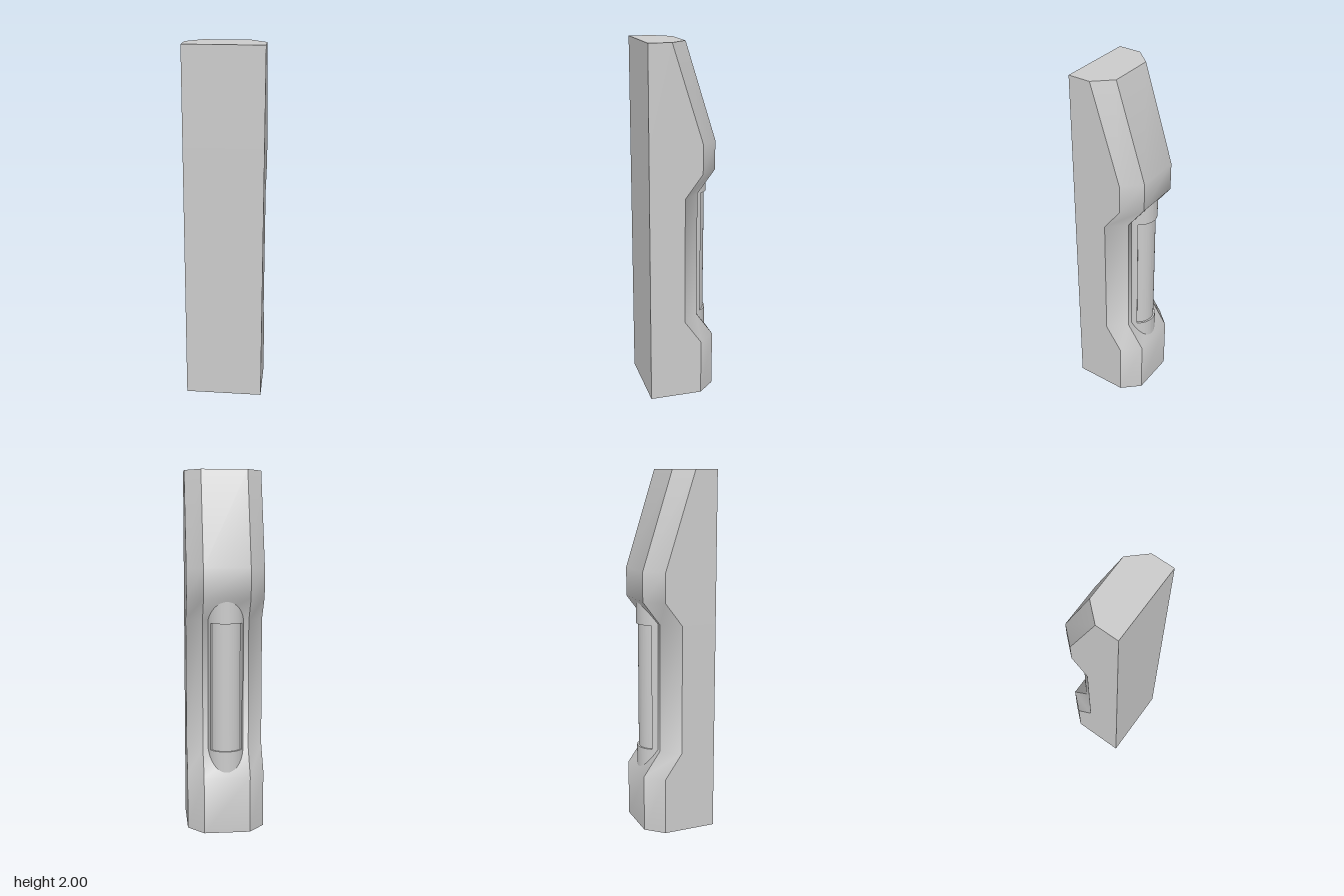
import * as THREE from 'three';
import { toCreasedNormals } from 'three/addons/utils/BufferGeometryUtils.js';

const material = new THREE.MeshStandardMaterial({ color: 0xcccccc });
const HALF = 0.215, FLAT = 0.128, FRONT = 0.195, CHAMFER = 0.095;
const BAR_R = 0.1, BAR_V = 0.08; // bar radius, and its axis distance behind z = 0

// Chamfered body: one six-sided cross-section per [height, depth of the back face]
function bodyGeometry() {
  const profile = [[0, -0.195], [0.32, -0.195], [0.46, -0.097], [1.18, -0.097],
    [1.31, -0.195], [1.47, -0.195], [2, -0.025]];
  const pos = [], index = [], n = 6;
  for (const [y, zb] of profile) {
    const zc = zb + CHAMFER;
    pos.push(-HALF, y, FRONT, HALF, y, FRONT, HALF, y, zc,
      FLAT, y, zb, -FLAT, y, zb, -HALF, y, zc);
  }
  const last = (profile.length - 1) * n;
  for (let r = 0; r < last; r += n) {
    for (let i = 0; i < n; i++) {
      const a = r + i, b = r + (i + 1) % n;
      index.push(a, b, b + n, a, b + n, a + n);
    }
  }
  for (let i = 1; i < n - 1; i++) {
    index.push(0, i + 1, i, last, last + i, last + i + 1);
  }
  const g = new THREE.BufferGeometry();
  g.setAttribute('position', new THREE.Float32BufferAttribute(pos, 3));
  g.setIndex(index);
  return toCreasedNormals(g, 0.68);
}

// Bar piece: arcs of [radius, start, end] in degrees, extruded upward from y0 to y1
function barPiece(name, arcs, y0, y1) {
  const shape = new THREE.Shape();
  for (const [r, a, b] of arcs) {
    shape.absarc(0, BAR_V, r, THREE.MathUtils.degToRad(a), THREE.MathUtils.degToRad(b), false);
  }
  shape.closePath();
  const g = new THREE.ExtrudeGeometry(shape, { depth: y1 - y0, bevelEnabled: false, curveSegments: 24 });
  g.rotateX(-Math.PI / 2).translate(0, y0, 0);
  const mesh = new THREE.Mesh(toCreasedNormals(g, 0.5), material);
  mesh.name = name;
  return mesh;
}

export function createModel() {
  const group = new THREE.Group();
  group.name = 'post';

  const body = new THREE.Mesh(bodyGeometry(), material);
  body.name = 'body';
  group.add(body);

  // Round bar in the back recess: full collars, and a slightly sunken window between them
  const full = [[BAR_R, -10, 190]];
  const sunken = [[BAR_R, -10, 30], [0.09, 30, 150], [BAR_R, 150, 190]];
  group.add(
    barPiece('lowerCollar', full, 0.3, 0.46),
    barPiece('windowBar', sunken, 0.46, 1.17),
    barPiece('upperCollar', full, 1.17, 1.33),
  );
  return group;
}
